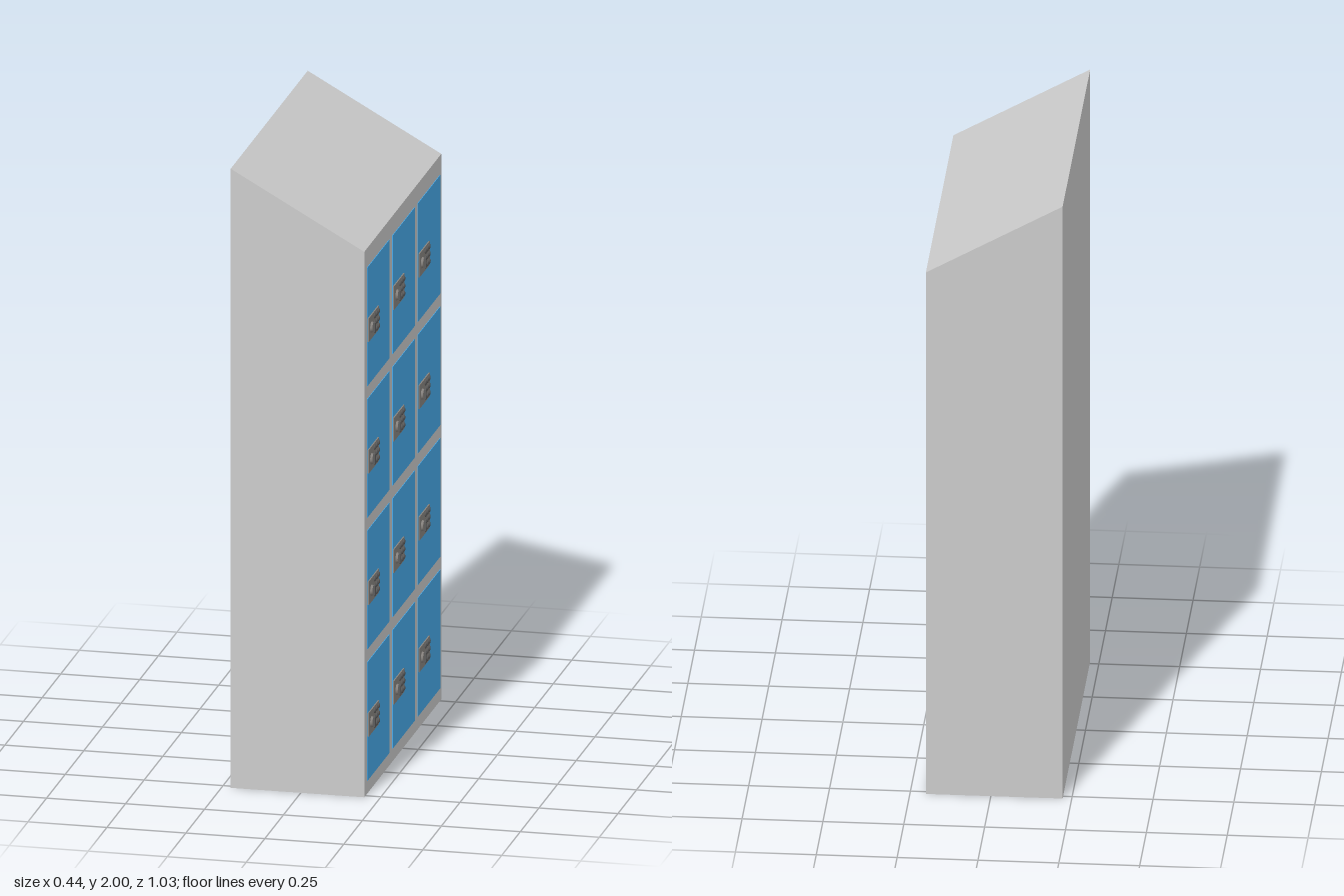
import * as THREE from 'three';

const material = (color, extra = {}) => new THREE.MeshStandardMaterial({ color, ...extra });

function addMesh(parent, name, geometry, mat, x, y, z) {
  const mesh = new THREE.Mesh(geometry, mat);
  mesh.name = name;
  mesh.position.set(x, y, z);
  parent.add(mesh);
  return mesh;
}

export function createModel() {
  const model = new THREE.Group();
  model.name = 'lockerCabinet';

  const grey = material(0xcccccc, { flatShading: true });
  const blue = material(0x47aaeb);
  const plateGrey = material(0x888480);
  const darkGrey = material(0x5c5c5c);

  // Cabinet: side profile with a sloping top, extruded along z
  const faceX = 0.201, depth = 1.034;
  const profile = new THREE.Shape([
    new THREE.Vector2(-0.222, 0),
    new THREE.Vector2(faceX, 0),
    new THREE.Vector2(faceX, 1.762),
    new THREE.Vector2(-0.222, 2),
  ]);
  const body = new THREE.ExtrudeGeometry(profile, { depth, bevelEnabled: false });
  addMesh(model, 'cabinetBody', body, grey, 0, 0, -depth / 2);

  // Shared door and lock geometry
  const doorGeo = new THREE.BoxGeometry(0.008, 0.383, 0.298);
  const plateGeo = new THREE.BoxGeometry(0.005, 0.076, 0.138);
  const buttonGeo = new THREE.SphereGeometry(0.009, 12, 6, 0, Math.PI * 2, 0, Math.PI / 2);
  buttonGeo.scale(1, 0.55, 1).rotateZ(-Math.PI / 2);
  const knobGeo = new THREE.CylinderGeometry(0.015, 0.018, 0.007, 20).rotateZ(-Math.PI / 2);
  const gripGeo = new THREE.BoxGeometry(0.008, 0.03, 0.009);

  // Keypad lock, built around the plate centre with its back at x = 0
  function makeLock() {
    const lock = new THREE.Group();
    lock.name = 'keypadLock';
    addMesh(lock, 'lockPlate', plateGeo, plateGrey, 0.0015, 0, 0);
    addMesh(lock, 'knobBase', knobGeo, plateGrey, 0.007, 0, 0.034);
    addMesh(lock, 'knobGrip', gripGeo, darkGrey, 0.013, 0, 0.034);
    for (let row = -1; row <= 1; row++) {
      for (let col = -1; col <= 1; col++) {
        addMesh(lock, 'keypadButton', buttonGeo, darkGrey, 0.004, row * 0.024, -0.034 + col * 0.025);
      }
    }
    return lock;
  }

  // Grid of doors, three columns by four rows
  for (let row = 0; row < 4; row++) {
    for (let col = 0; col < 3; col++) {
      const locker = new THREE.Group();
      locker.name = 'lockerDoor';
      locker.position.set(faceX, 0.234 + row * 0.425, 0.334 - col * 0.34);
      addMesh(locker, 'doorPanel', doorGeo, blue, -0.002, 0, 0);
      const lock = makeLock();
      lock.position.set(0.002, -0.011, 0.078);
      locker.add(lock);
      model.add(locker);
    }
  }
  return model;
}
